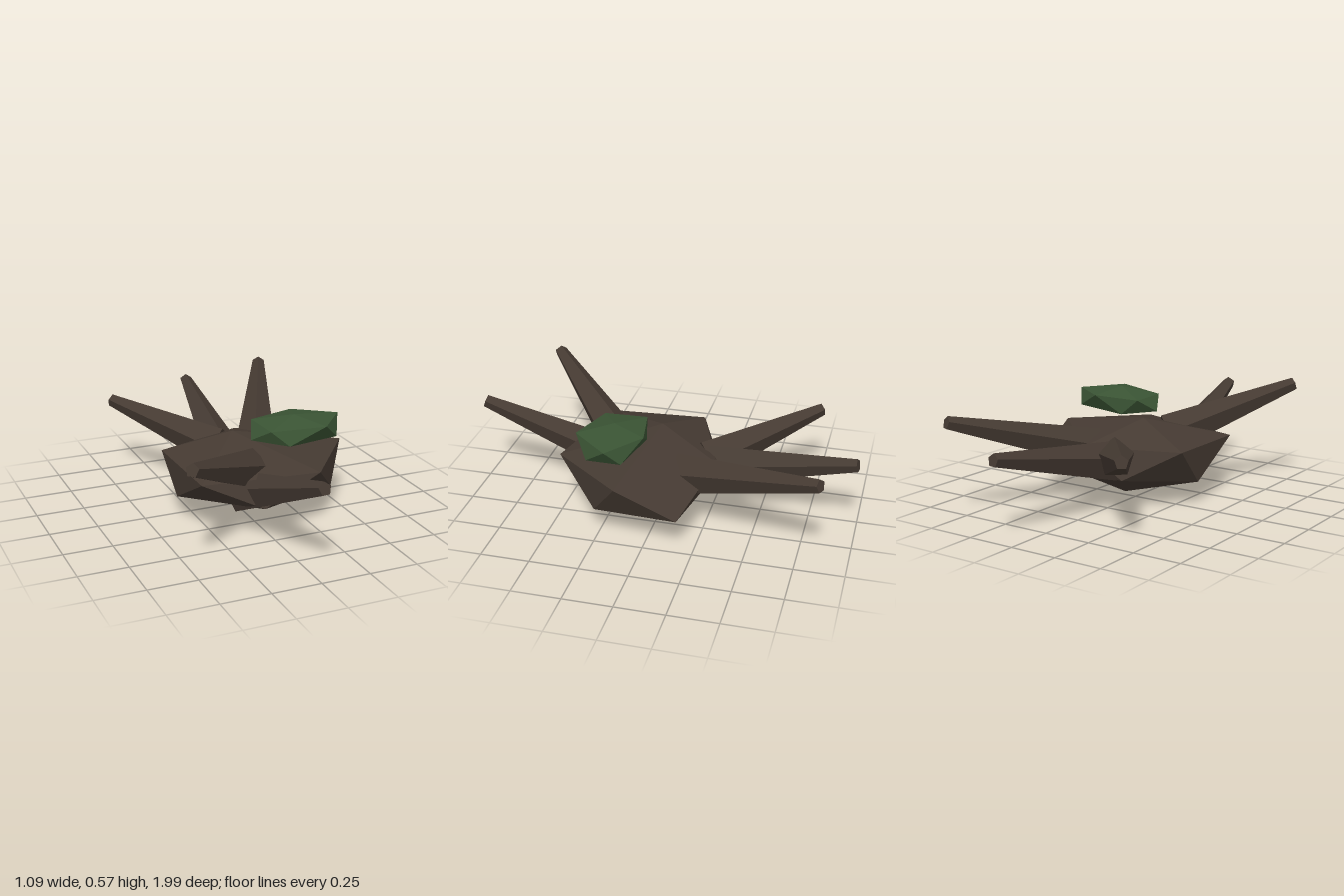
import * as THREE from 'three';

// Irregular twenty-faced stone: a top point, an upper ring, a lower ring and a bottom point.
// Both rings run from +x towards +z; lower[i] sits between upper[i] and upper[i + 1].
function stoneGeometry(top, upper, lower, bottom) {
  const pos = [];
  for (let i = 0; i < 5; i++) {
    const j = (i + 1) % 5;
    pos.push(...top, ...upper[j], ...upper[i]);
    pos.push(...upper[i], ...upper[j], ...lower[i]);
    pos.push(...upper[j], ...lower[j], ...lower[i]);
    pos.push(...bottom, ...lower[i], ...lower[j]);
  }
  const g = new THREE.BufferGeometry();
  g.setAttribute('position', new THREE.Float32BufferAttribute(pos, 3));
  g.computeVertexNormals();
  return g;
}

// Five-sided tapered root running from base to tip, with one ridge upwards
function spike(name, base, tip, material) {
  const a = new THREE.Vector3(...base);
  const b = new THREE.Vector3(...tip);
  const g = new THREE.CylinderGeometry(0.034, 0.108, a.distanceTo(b), 5);
  g.rotateY(Math.PI);
  g.rotateX(Math.PI / 2);
  const mesh = new THREE.Mesh(g, material);
  mesh.name = name;
  mesh.position.copy(a).add(b).multiplyScalar(0.5);
  mesh.lookAt(b);
  return mesh;
}

export function createModel() {
  const bark = new THREE.MeshStandardMaterial({ color: 0x453a32 });
  bark.name = 'dark bark';
  bark.flatShading = true;
  const moss = new THREE.MeshStandardMaterial({ color: 0x3a5434 });
  moss.name = 'moss green';
  moss.flatShading = true;

  const model = new THREE.Group();
  model.name = 'rootStump';

  // Central lump
  const body = new THREE.Mesh(stoneGeometry(
    [-0.03, 0.42, 0.03],
    [[0.54, 0.33, 0.13], [0.24, 0.32, 0.5], [-0.34, 0.3, 0.39], [-0.36, 0.31, -0.12], [0.12, 0.31, -0.29]],
    [[0.42, 0.135, 0.27], [-0.05, 0.17, 0.49], [-0.345, 0.12, 0.06], [-0.1, 0.16, -0.27], [0.5, 0.175, -0.17]],
    [0.1, 0, 0.05]), bark);
  body.name = 'body';
  model.add(body);

  // Moss clump resting on top
  const clump = new THREE.Mesh(stoneGeometry(
    [0.23, 0.53, 0.21],
    [[0.49, 0.5, 0.19], [0.33, 0.505, 0.38], [0.06, 0.49, 0.31], [0.05, 0.49, 0.09], [0.29, 0.5, 0.045]],
    [[0.43, 0.415, 0.3], [0.14, 0.42, 0.36], [0.0, 0.42, 0.2], [0.14, 0.41, 0.07], [0.44, 0.42, 0.12]],
    [0.24, 0.38, 0.21]), moss);
  clump.name = 'mossClump';
  model.add(clump);

  // Roots reaching outwards
  const roots = [
    ['frontRoot', [-0.06, 0.17, 0.25], [0.01, 0.455, 0.985]],
    ['frontRightRoot', [-0.03, 0.29, 0.26], [-0.525, 0.54, 0.75]],
    ['backRoot', [0.0, 0.23, -0.2], [0.105, 0.39, -0.99]],
    ['backLeftRoot', [0.17, 0.26, -0.12], [0.515, 0.488, -0.855]],
    ['backRightRoot', [-0.01, 0.25, -0.2], [-0.43, 0.405, -0.74]],
  ];
  for (const [name, base, tip] of roots) model.add(spike(name, base, tip, bark));

  return model;
}
